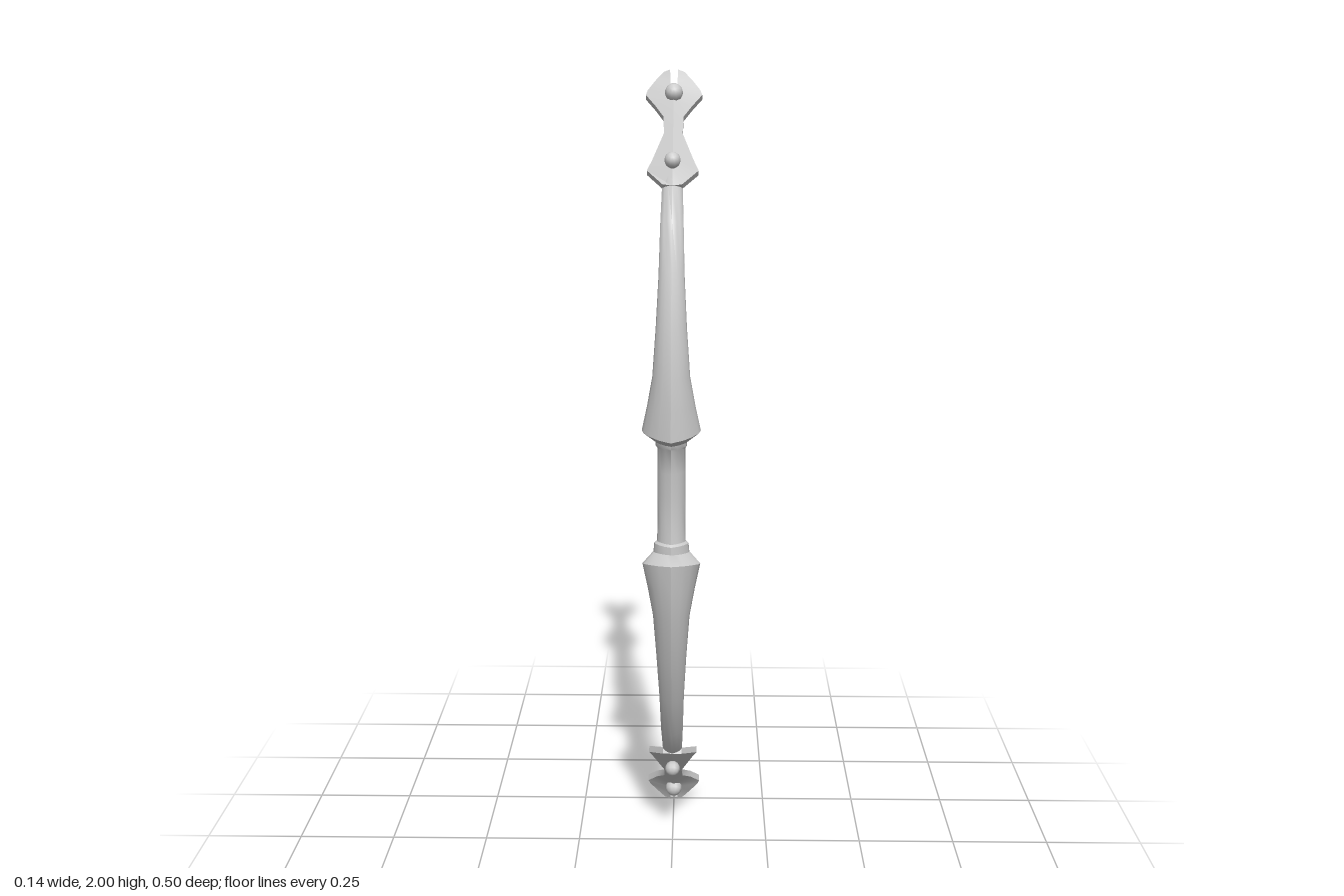
import * as THREE from 'three';
import { toCreasedNormals, mergeVertices } from 'three/addons/utils/BufferGeometryUtils.js';

const material = new THREE.MeshStandardMaterial({ color: 0xcccccc });

// Skin a list of equal-length rings ([x, y, z] points) and cap both ends.
function loft(rings, crease = 0.7) {
  const n = rings[0].length;
  const index = [];
  for (let i = 0; i < rings.length - 1; i++) {
    for (let j = 0; j < n; j++) {
      const a = i * n + j, b = i * n + (j + 1) % n;
      index.push(a, b, a + n, b, b + n, a + n);
    }
  }
  const last = (rings.length - 1) * n;
  for (let j = 1; j < n - 1; j++) {
    index.push(0, j + 1, j, last, last + j, last + j + 1);
  }
  const geo = new THREE.BufferGeometry();
  geo.setAttribute('position', new THREE.Float32BufferAttribute(rings.flat(2), 3));
  geo.setIndex(index);
  return toCreasedNormals(mergeVertices(geo, 1e-5), crease);
}

function addMesh(group, name, geometry) {
  const mesh = new THREE.Mesh(geometry, material);
  mesh.name = name;
  group.add(mesh);
  return mesh;
}

// Cross-section shared by limb and grip: [front-to-back, sideways], slightly keeled at the front
const half = [[1, 0], [0.77, 0.42], [0.5, 0.7], [0.2, 0.93], [-0.05, 1],
  [-0.45, 0.88], [-0.75, 0.66], [-0.95, 0.35], [-1, 0]];
const profile = [...half, ...half.slice(1, -1).reverse().map(([u, v]) => [u, -v])];

// Ring from a front point (z, y), a back point (z, y) and a half width
function section([fz, fy, bz, by, w]) {
  return profile.map(([u, v]) => [
    v * w,
    (fy + by) / 2 + u * (fy - by) / 2,
    (fz + bz) / 2 + u * (fz - bz) / 2,
  ]);
}

function limbGeometry() {
  const rings = [
    [0.187, 1.13, 0.115, 1.135, 0.036],
    [0.246, 1.153, 0.1, 1.18, 0.071],
    [0.241, 1.225, 0.115, 1.23, 0.058],
    [0.230, 1.30, 0.13, 1.30, 0.045],
    [0.20, 1.42, 0.133, 1.41, 0.037],
    [0.152, 1.545, 0.108, 1.52, 0.031],
    [0.092, 1.66, 0.068, 1.632, 0.028],
    [0.028, 1.743, -0.006, 1.722, 0.025],
    [-0.068, 1.826, -0.08, 1.793, 0.022],
    [-0.13, 1.873, -0.148, 1.85, 0.018],
    [-0.2, 1.93, -0.215, 1.92, 0.012],
  ].map(section);
  // Small chip in the flared rim
  const chip = rings[1][11];
  chip[0] *= 0.75;
  chip[1] += 0.03;
  return loft(rings);
}

// One half of the keeled tip plate: ridge (x, y, z) and outer edge (x, y, z) per row
function plateGeometry(side) {
  const rows = [
    [0, 1.735, 0.035, 0.024, 1.738, 0.028],
    [0, 1.775, -0.005, 0.063, 1.765, -0.042],
    [0, 1.80, -0.035, 0.05, 1.79, -0.062],
    [0, 1.855, -0.10, 0.023, 1.85, -0.112],
    [0, 1.895, -0.15, 0.025, 1.888, -0.16],
    [0, 1.925, -0.187, 0.046, 1.912, -0.203],
    [0, 1.945, -0.208, 0.071, 1.938, -0.233],
    [0.008, 1.95, -0.214, 0.066, 1.95, -0.238],
    [0.009, 1.975, -0.234, 0.045, 1.975, -0.246],
    [0.01, 2.0, -0.245, 0.026, 1.994, -0.248],
  ];
  const rings = rows.map(([cx, cy, cz, ex, ey, ez]) => {
    const back = (x, y, z) => [side * x, y - 0.012, Math.max(z - 0.012, -0.25)];
    const ring = [[side * cx, cy, cz], [side * ex, ey, ez], back(ex, ey, ez), back(cx, cy, cz)];
    return side > 0 ? ring : ring.reverse();
  });
  return loft(rings, 0.4);
}

function createArm() {
  const arm = new THREE.Group();
  addMesh(arm, 'limb', limbGeometry());
  addMesh(arm, 'tipPlateLeft', plateGeometry(1));
  addMesh(arm, 'tipPlateRight', plateGeometry(-1));
  // Studs standing out of the plate's ridge
  for (const [name, y, z, r] of [['lowerStud', 1.793, 0, 0.02], ['nockStud', 1.945, -0.203, 0.023]]) {
    const stud = addMesh(arm, name, new THREE.SphereGeometry(r, 10, 7));
    stud.position.set(0, y, z);
    stud.rotation.x = Math.PI / 4;
  }
  return arm;
}

export function createModel() {
  const bow = new THREE.Group();
  bow.name = 'bow';

  // Upper arm, and the same arm turned half round for the lower one
  const upper = createArm();
  upper.name = 'upperArm';
  const lower = createArm();
  lower.name = 'lowerArm';
  lower.rotation.z = Math.PI;
  lower.position.y = 2;
  bow.add(upper, lower);

  // Slightly curved grip with a collar at each end: y, centre z, radius
  const grip = [
    [0.86, 0.16, 0.044], [0.882, 0.16, 0.042], [0.887, 0.16, 0.035], [0.94, 0.152, 0.034],
    [1.0, 0.149, 0.034], [1.06, 0.15, 0.034], [1.12, 0.153, 0.034], [1.125, 0.153, 0.038], [1.145, 0.153, 0.038],
  ];
  addMesh(bow, 'grip', loft(grip.map(([y, z, r]) => section([z + r, y, z - r, y, r]))));

  // String with a thicker serving in the middle
  const string = addMesh(bow, 'string', new THREE.CylinderGeometry(0.006, 0.006, 1.88, 8));
  string.position.set(0, 1, -0.208);
  const serving = addMesh(bow, 'stringServing', new THREE.CylinderGeometry(0.01, 0.01, 0.44, 8));
  serving.position.set(0, 1, -0.208);

  return bow;
}
